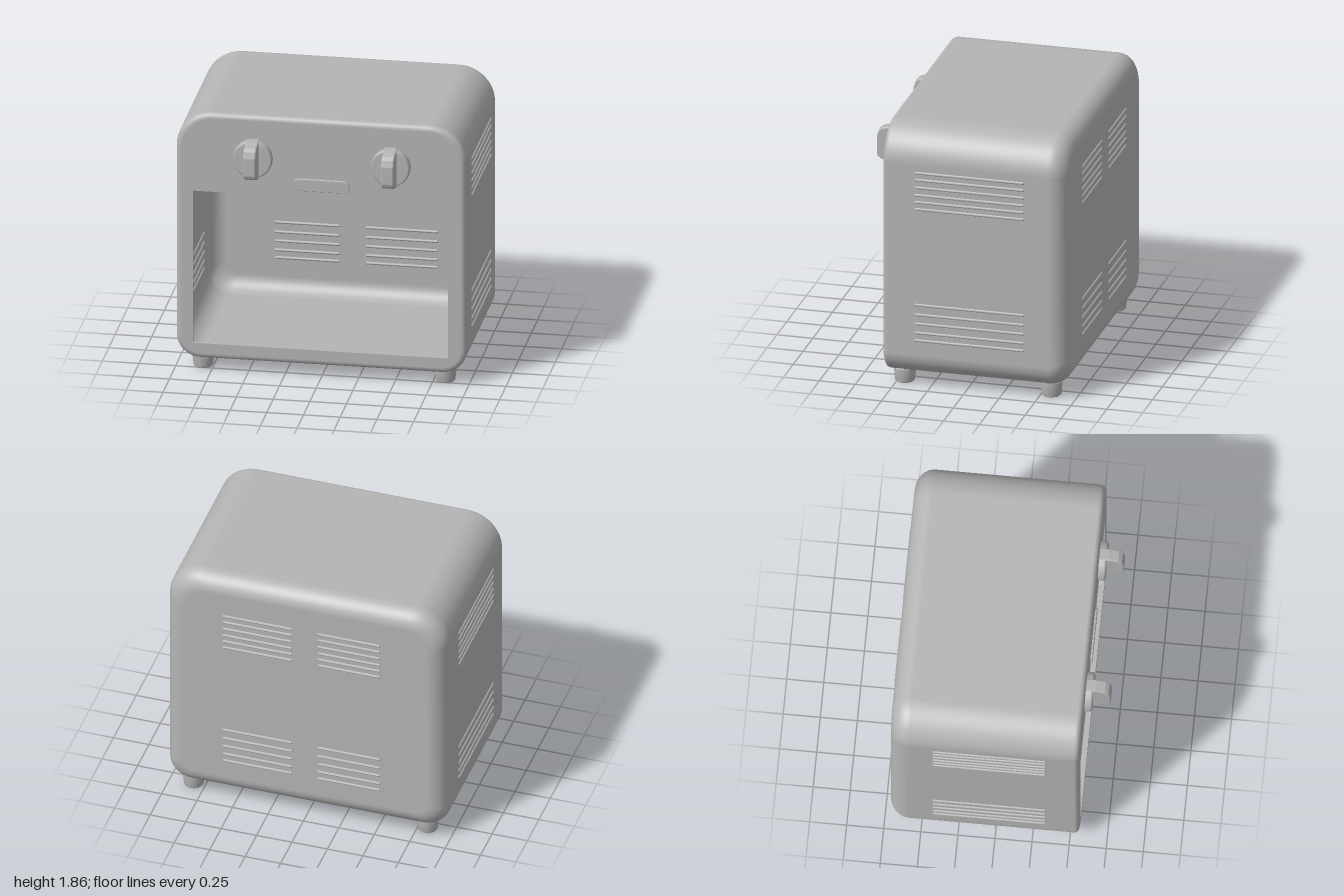
import * as THREE from 'three';

const W = 0.987, BOTTOM = 0.09, TOP = 1.86, FRONT = 0.565, BACK = -0.715, WALL = 0.02;

// Rounded rectangle outline, anticlockwise seen from the front
function outline(inset, segments = 12) {
  const w = W - inset, y0 = BOTTOM + inset, y1 = TOP - inset;
  const rt = 0.25 - inset * 0.7, rb = 0.16 - inset * 0.6;
  const corners = [[w - rt, y1 - rt, rt], [-w + rt, y1 - rt, rt], [-w + rb, y0 + rb, rb], [w - rb, y0 + rb, rb]];
  const points = [];
  corners.forEach(([x, y, r], q) => {
    for (let i = 0; i <= segments; i++) {
      const a = (q + i / segments) * Math.PI / 2;
      points.push(new THREE.Vector2(x + r * Math.cos(a), y + r * Math.sin(a)));
    }
  });
  return points;
}

// Loft of outlines from the front edge to a closed, rounded back
function shellGeometry(offset, inward) {
  const rf = inward ? 0.002 : 0.035, rb = 0.13 - offset;
  const zf = FRONT - (inward ? WALL : 0), zb = BACK + offset;
  const stations = [];
  for (let i = 0; i <= 5; i++) {
    const a = i / 5 * Math.PI / 2;
    stations.push([zf - rf * (1 - Math.cos(a)), offset + rf * (1 - Math.sin(a))]);
  }
  for (let i = 0; i <= 10; i++) {
    const a = i / 10 * Math.PI / 2;
    stations.push([zb + rb * (1 - Math.sin(a)), offset + rb * (1 - Math.cos(a))]);
  }
  // turn the second arc so that it starts along the wall and ends on the back
  for (let i = 0; i <= 10; i++) {
    const a = i / 10 * Math.PI / 2;
    stations[6 + i] = [zb + rb * (1 - Math.sin(a)), offset + rb * (1 - Math.cos(a))];
  }
  const position = [], index = [];
  let n = 0;
  for (const [z, inset] of stations) {
    const ring = outline(inset);
    n = ring.length;
    ring.forEach(p => position.push(p.x, p.y, z));
  }
  const tri = (a, b, c) => inward ? index.push(a, c, b) : index.push(a, b, c);
  for (let s = 0; s < stations.length - 1; s++) {
    for (let i = 0; i < n; i++) {
      const a = s * n + i, b = s * n + (i + 1) % n;
      tri(a, a + n, b);
      tri(b, a + n, b + n);
    }
  }
  const last = (stations.length - 1) * n, centre = position.length / 3;
  position.push(0, (TOP + BOTTOM) / 2, zb);
  for (let i = 0; i < n; i++) tri(last + i, centre, last + (i + 1) % n);
  const g = new THREE.BufferGeometry();
  g.setAttribute('position', new THREE.Float32BufferAttribute(position, 3));
  g.setIndex(index);
  g.computeVertexNormals();
  return g;
}

export function createModel() {
  const grey = new THREE.MeshStandardMaterial({ color: 0xb4b4b4 });
  grey.name = 'warm grey enamel';
  const model = new THREE.Group();
  model.name = 'toasterOven';
  const add = (name, geometry, x = 0, y = 0, z = 0, parent = model) => {
    const mesh = new THREE.Mesh(geometry, grey);
    mesh.name = name;
    mesh.position.set(x, y, z);
    parent.add(mesh);
    return mesh;
  };

  // Hollow housing
  add('outerShell', shellGeometry(0, false));
  add('innerLiner', shellGeometry(WALL, true));

  // Front panel with the open doorway
  const panel = new THREE.Shape(outline(0.035));
  panel.holes.push(new THREE.Path([[-0.87, 0.2], [-0.87, 1.295], [0.865, 1.295], [0.865, 0.2]]
    .map(p => new THREE.Vector2(...p))));
  add('frontPanel', new THREE.ExtrudeGeometry(panel, { depth: WALL, bevelEnabled: false }), 0, 0, FRONT - WALL);

  // Knobs: round base and tapered grip
  const grip = new THREE.Shape([[0, -0.125], [0.06, -0.125], [0.13, -0.1], [0.152, -0.085], [0.158, -0.07],
    [0.158, 0.05], [0.145, 0.09], [0.125, 0.105], [0.06, 0.12], [0, 0.125]].map(p => new THREE.Vector2(...p)));
  const gripGeometry = new THREE.ExtrudeGeometry(grip,
    { depth: 0.066, bevelThickness: 0.01, bevelSize: 0.01, bevelSegments: 3 });
  gripGeometry.translate(0, 0, -0.033).rotateY(-Math.PI / 2);
  const baseProfile = [[0.133, 0], [0.133, 0.036], [0.129, 0.046], [0.12, 0.05], [0, 0.05]]
    .map(p => new THREE.Vector2(...p));
  const baseGeometry = new THREE.LatheGeometry(baseProfile, 40).rotateX(Math.PI / 2);
  for (const x of [-0.46, 0.48]) {
    const knob = new THREE.Group();
    knob.name = 'knob';
    knob.position.set(x, 1.56, FRONT);
    add('knobBase', baseGeometry, 0, 0, 0, knob);
    add('knobGrip', gripGeometry, 0, 0, 0, knob);
    model.add(knob);
  }

  // Pill-shaped plate between the knobs
  const pill = new THREE.Shape();
  pill.absarc(0.15, 0, 0.04, -Math.PI / 2, Math.PI / 2);
  pill.absarc(-0.15, 0, 0.04, Math.PI / 2, Math.PI * 1.5);
  add('pillPlate', new THREE.ExtrudeGeometry(pill,
    { depth: 0.008, bevelThickness: 0.005, bevelSize: 0.004, bevelSegments: 2, curveSegments: 12 }),
    0.005, 1.388, FRONT);

  // Feet
  const footProfile = [[0, 0], [0.058, 0], [0.066, 0.008], [0.074, 0.075], [0.074, 0.1]]
    .map(p => new THREE.Vector2(...p));
  const footGeometry = new THREE.LatheGeometry(footProfile, 32);
  for (const x of [-0.82, 0.83]) for (const z of [0.45, -0.57]) add('foot', footGeometry, x, 0, z);

  // Vent louvres, showing on both sides of the wall
  const slat = (length, alongX) => {
    const g = new THREE.CapsuleGeometry(0.012, length - 0.024, 3, 10);
    return alongX ? g.rotateZ(Math.PI / 2).scale(1, 1, 1.7) : g.rotateX(Math.PI / 2).scale(1.7, 1, 1);
  };
  const sideSlat = slat(0.77, false);
  const backSlats = [[-0.31, slat(0.45, true)], [0.335, slat(0.5, true)]];
  const upperRows = [1.3, 1.35, 1.4, 1.455, 1.51, 1.56], lowerRows = [0.355, 0.41, 0.475, 0.54, 0.61];
  for (const y of [...upperRows, ...lowerRows]) {
    for (const side of [-1, 1]) add('sideLouvre', sideSlat, side * (W - WALL / 2), y, -0.04);
    for (const [x, g] of backSlats) add('backLouvre', g, x, y, BACK + WALL / 2);
  }
  return model;
}
